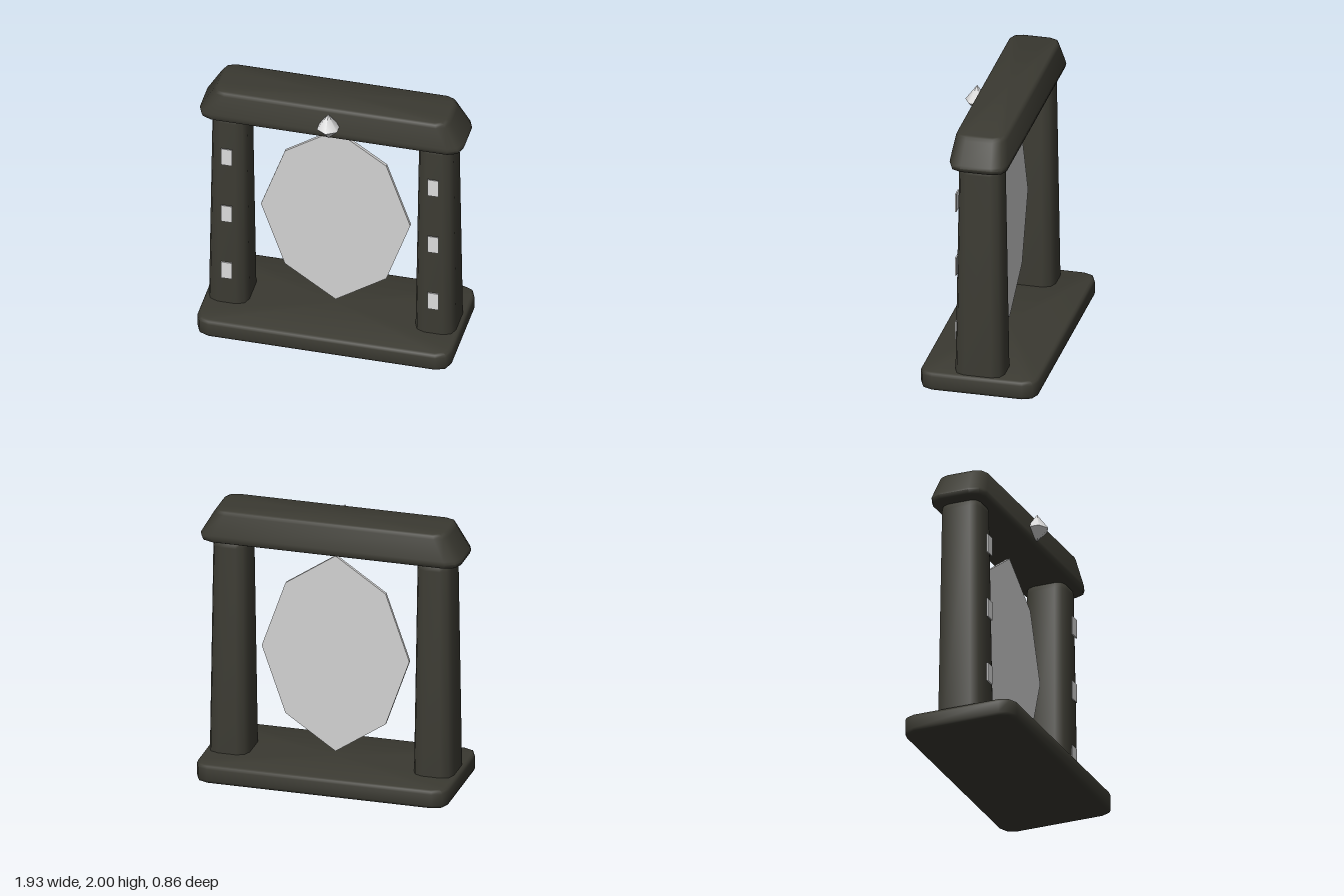
import * as THREE from 'three';
import { toCreasedNormals } from 'three/addons/utils/BufferGeometryUtils.js';

// Outline of a rectangle with rounded corners, two steps per corner, as [x, z] pairs
function roundedOutline(hx, hz, r) {
  const points = [];
  const corners = [[1, 1], [-1, 1], [-1, -1], [1, -1]];
  corners.forEach(([sx, sz], i) => {
    for (let k = 0; k <= 2; k++) {
      const a = (i + k / 2) * Math.PI / 2;
      points.push([sx * (hx - r) + r * Math.cos(a), sz * (hz - r) + r * Math.sin(a)]);
    }
  });
  return points;
}

// Solid block skinned through sections [y, halfWidth, halfDepth, cornerRadius]
function loftBlock(sections) {
  const positions = [], index = [];
  const n = 12, last = sections.length - 1;
  for (const [y, hx, hz, r] of sections) {
    for (const [x, z] of roundedOutline(hx, hz, r)) positions.push(x, y, z);
  }
  for (let s = 0; s < last; s++) {
    for (let i = 0; i < n; i++) {
      const a = s * n + i, b = s * n + (i + 1) % n;
      index.push(a, a + n, b, b, a + n, b + n);
    }
  }
  // flat caps
  const bottom = positions.length / 3, top = bottom + 1;
  positions.push(0, sections[0][0], 0, 0, sections[last][0], 0);
  for (let i = 0; i < n; i++) {
    const j = (i + 1) % n;
    index.push(bottom, i, j, top, last * n + j, last * n + i);
  }
  const geometry = new THREE.BufferGeometry();
  geometry.setAttribute('position', new THREE.Float32BufferAttribute(positions, 3));
  geometry.setIndex(index);
  return toCreasedNormals(geometry, 0.9);
}

export function createModel() {
  const group = new THREE.Group();
  const stone = new THREE.MeshStandardMaterial({ name: 'dark stone', color: 0x3b3a32 });
  const glass = new THREE.MeshStandardMaterial({ name: 'pale glass', color: 0xd2d2d2 });
  const crystalWhite = new THREE.MeshStandardMaterial({ name: 'crystal white', color: 0xdcdcdc });

  function add(name, geometry, material, x = 0, y = 0, z = 0, parent = group) {
    const mesh = new THREE.Mesh(geometry, material);
    mesh.name = name;
    mesh.position.set(x, y, z);
    parent.add(mesh);
    return mesh;
  }

  // Base slab
  add('base', loftBlock([
    [0, 0.905, 0.405, 0.085], [0.008, 0.922, 0.422, 0.095], [0.028, 0.93, 0.43, 0.1],
    [0.112, 0.93, 0.43, 0.1], [0.132, 0.922, 0.422, 0.095], [0.14, 0.905, 0.405, 0.085],
  ]), stone);

  // Tapered pillars with their light panels
  const pillarGeometry = loftBlock([
    [0.12, 0.148, 0.18, 0.08], [1.71, 0.126, 0.156, 0.07],
    [1.745, 0.12, 0.15, 0.065], [1.765, 0.105, 0.135, 0.055],
  ]);
  const panelGeometry = new THREE.BoxGeometry(0.08, 0.14, 0.009);
  for (const [side, sign] of [['left', 1], ['right', -1]]) {
    add(side + 'Pillar', pillarGeometry, stone, sign * 0.754);
    for (const y of [0.43, 0.933, 1.436]) {
      add(side + 'Panel', panelGeometry, crystalWhite, sign * 0.754, y, 0.185);
    }
  }

  // Lintel with sloping ends
  add('lintel', loftBlock([
    [1.758, 0.935, 0.19, 0.085], [1.766, 0.955, 0.205, 0.095], [1.795, 0.966, 0.212, 0.1],
    [1.815, 0.955, 0.21, 0.1], [1.97, 0.865, 0.187, 0.09],
    [1.992, 0.85, 0.178, 0.08], [2, 0.83, 0.163, 0.07],
  ]), stone);

  // Eight-sided portal pane
  const outline = [[0, 0.75], [-0.37, 0.5], [-0.545, 0], [-0.37, -0.5],
    [0, -0.75], [0.37, -0.5], [0.545, 0], [0.37, 0.5]];
  const paneShape = new THREE.Shape(outline.map(([x, y]) => new THREE.Vector2(x, y)));
  const paneGeometry = new THREE.ExtrudeGeometry(paneShape, { depth: 0.024, bevelEnabled: false });
  add('portalPane', paneGeometry, glass, 0, 0.933, -0.012);

  // Six-sided crystal on the lintel: tall upper point, short lower point
  const crystal = new THREE.Group();
  crystal.name = 'crystal';
  crystal.position.set(0, 1.868, 0.225);
  group.add(crystal);
  add('crystalTop', new THREE.ConeGeometry(0.086, 0.117, 6, 1, true), crystalWhite, 0, 0.0585, 0, crystal);
  const lower = add('crystalBottom', new THREE.ConeGeometry(0.086, 0.093, 6, 1, true), crystalWhite, 0, -0.0465, 0, crystal);
  lower.rotation.z = Math.PI;

  return group;
}
